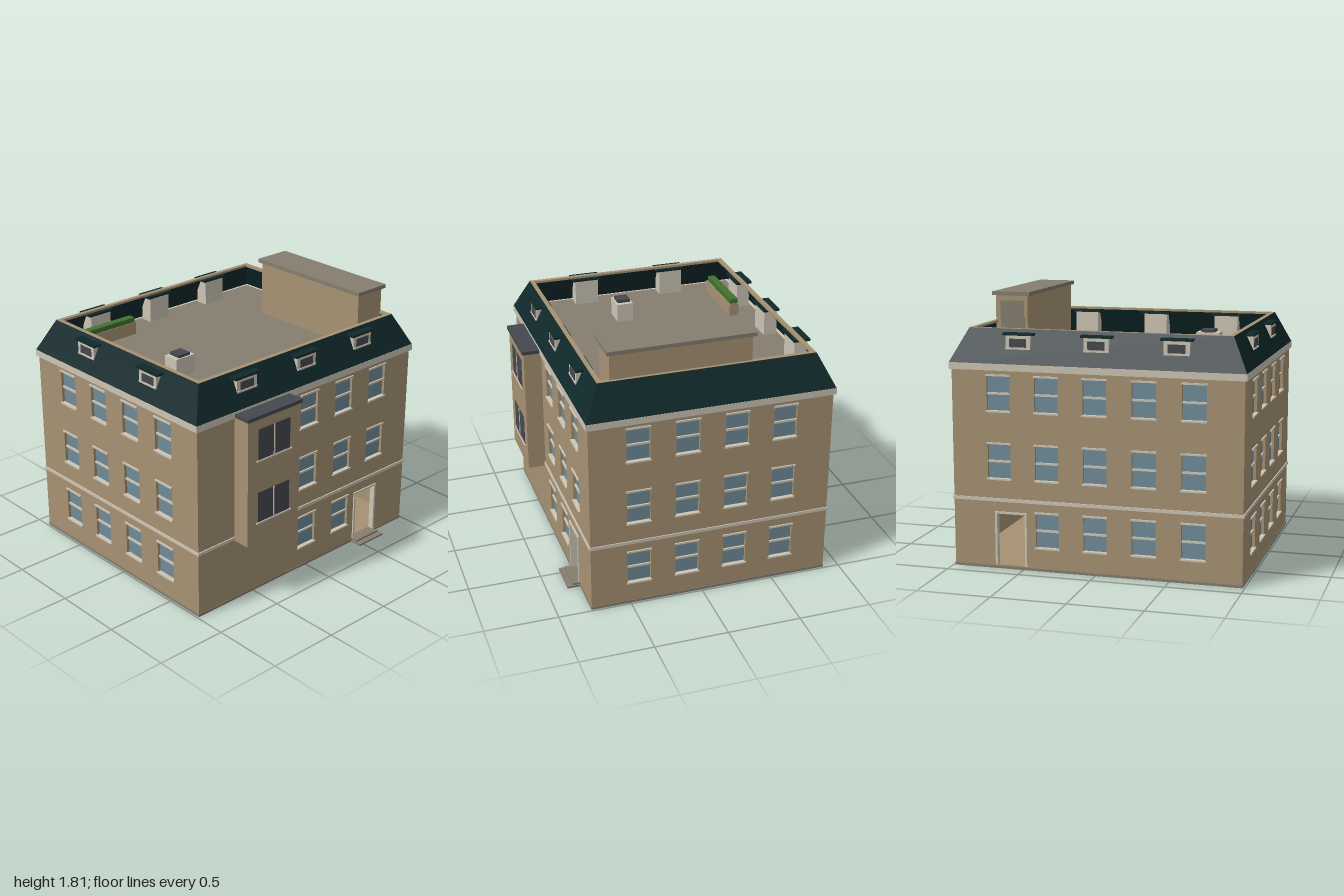
import * as THREE from 'three';

const mat = (name, color, side = THREE.FrontSide) => {
  const m = new THREE.MeshStandardMaterial({ color, side });
  m.name = name;
  return m;
};

export function createModel() {
  const wallMat = mat('tan wall', 0xa69273);
  const trim = mat('cream trim', 0xcdc5b5);
  const stone = mat('grey stone', 0x857d6f);
  const slate = mat('dark green slate', 0x10292a, THREE.DoubleSide);
  const glass = mat('blue glass', 0x708b98);
  const dark = mat('charcoal', 0x46484f);
  const green = mat('hedge green', 0x41722f);

  const model = new THREE.Group();
  model.name = 'townhouse';

  // Box given by its limits on each axis
  function box(parent, name, m, x0, x1, y0, y1, z0, z1) {
    const mesh = new THREE.Mesh(new THREE.BoxGeometry(x1 - x0, y1 - y0, z1 - z0), m);
    mesh.position.set((x0 + x1) / 2, (y0 + y1) / 2, (z0 + z1) / 2);
    mesh.name = name;
    parent.add(mesh);
    return mesh;
  }
  function group(parent, name, x, y, z, turn) {
    const g = new THREE.Group();
    g.name = name;
    g.position.set(x, y, z);
    g.rotation.y = turn;
    parent.add(g);
    return g;
  }

  const T = 0.03, MID = -0.06; // wall thickness, centre of the building in z
  const FLOORS = [0.16, 0.615, 1.07], WIN_H = 0.235, WIN_W = 0.16;

  function cutRect(shape, x0, x1, y0, y1) {
    const p = new THREE.Path();
    p.moveTo(x0, y0).lineTo(x0, y1).lineTo(x1, y1).lineTo(x1, y0).closePath();
    shape.holes.push(p);
  }

  // One facade in its own plane, outside facing local +z
  function facade(name, width, pos, turn, columns, skip, door) {
    const g = group(model, name, pos[0], 0, pos[1], turn);
    const half = width / 2;
    const shape = new THREE.Shape();
    shape.moveTo(-half, 0.015).lineTo(half, 0.015).lineTo(half, 1.345).lineTo(-half, 1.345).closePath();
    FLOORS.forEach((y, floor) => columns.forEach((u) => {
      if (skip(floor, u)) return;
      const a = u - WIN_W / 2, b = u + WIN_W / 2, top = y + WIN_H;
      cutRect(shape, a, b, y, top);
      const w = group(g, 'window', 0, 0, 0, 0);
      box(w, 'pane', glass, a, b, y, top, -0.028, -0.02);
      box(w, 'middleRail', trim, a, b, y + 0.108, y + 0.122, -0.022, -0.008);
      box(w, 'lintel', trim, a - 0.004, b + 0.004, top - 0.003, top + 0.009, -0.02, 0.01);
      box(w, 'sill', trim, a - 0.006, b + 0.006, y - 0.009, y + 0.002, -0.02, 0.01);
    }));
    if (door !== undefined) {
      const a = door - 0.1, b = door + 0.1;
      cutRect(shape, a, b, 0.026, 0.38);
      const d = group(g, 'doorFrame', 0, 0, 0, 0);
      box(d, 'jamb', trim, a - 0.012, a + 0.003, 0.026, 0.38, -T, 0.01);
      box(d, 'jamb', trim, b - 0.003, b + 0.012, 0.026, 0.38, -T, 0.01);
      box(d, 'doorHead', trim, a - 0.012, b + 0.012, 0.378, 0.392, -T, 0.01);
    }
    const geo = new THREE.ExtrudeGeometry(shape, { depth: T, bevelEnabled: false });
    geo.translate(0, 0, -T);
    const mesh = new THREE.Mesh(geo, wallMat);
    mesh.name = 'wall';
    g.add(mesh);
  }

  const DOOR = 0.582;
  const sideCols = [-0.5, -0.167, 0.167, 0.5];
  facade('frontFacade', 1.97, [0, 0.77], 0, [0, 0.33, 0.66], (f, u) => f === 0 && u > 0.5, DOOR);
  facade('backFacade', 1.97, [0, -0.89], Math.PI, [-0.66, -0.33, 0, 0.33, 0.66],
    (f, u) => f === 0 && u < -0.5, -DOOR);
  facade('leftFacade', 1.66 - 2 * T, [0.985, MID], Math.PI / 2, sideCols, () => false);
  facade('rightFacade', 1.66 - 2 * T, [-0.985, MID], -Math.PI / 2, sideCols, () => false);

  // Base, hallway, belt course and cornice
  box(model, 'plinth', stone, -0.988, 0.988, 0, 0.018, -0.893, 0.773);
  box(model, 'hallFloor', wallMat, -0.955, 0.955, 0.018, 0.026, -0.86, 0.74);
  box(model, 'hallWall', trim, 0.462, 0.474, 0.026, 0.46, -0.86, 0.74);
  box(model, 'beltCourse', trim, -0.992, 0.992, 0.46, 0.482, -0.898, 0.778);
  box(model, 'cornice', trim, -1, 1, 1.34, 1.385, -0.905, 0.785);
  box(model, 'lowerStep', stone, 0.46, 0.7, 0, 0.013, 0.77, 0.86);
  box(model, 'upperStep', stone, 0.47, 0.69, 0.013, 0.026, 0.74, 0.82);

  // Projecting bay with two dark windows
  const bay = group(model, 'bay', 0, 0, 0, 0);
  box(bay, 'bayBody', wallMat, -0.67, -0.215, 0.45, 1.345, 0.765, 0.893);
  box(bay, 'bayRoof', dark, -0.68, -0.2, 1.345, 1.37, 0.765, 0.905);
  for (const y of [0.6, 1.05]) {
    box(bay, 'bayPane', dark, -0.58, -0.3, y, y + 0.22, 0.892, 0.895);
    box(bay, 'bayMullion', trim, -0.446, -0.436, y, y + 0.22, 0.893, 0.899);
    box(bay, 'baySill', trim, -0.595, -0.285, y - 0.007, y + 0.003, 0.893, 0.902);
  }

  // Mansard: four sloping faces between a lower and an upper rectangle
  const ring = (hx, hz, y) => [[-hx, hz], [hx, hz], [hx, -hz], [-hx, -hz]].map(([x, z]) => [x, y, z + MID]);
  const low = ring(0.998, 0.843, 1.385), high = ring(0.89, 0.738, 1.606);
  const verts = [];
  for (let i = 0; i < 4; i++) {
    const j = (i + 1) % 4;
    for (const v of [low[i], low[j], high[j], low[i], high[j], high[i]]) verts.push(...v);
  }
  const slopes = new THREE.BufferGeometry();
  slopes.setAttribute('position', new THREE.Float32BufferAttribute(verts, 3));
  slopes.computeVertexNormals();
  const mansard = new THREE.Mesh(slopes, slate);
  mansard.name = 'mansardRoof';
  model.add(mansard);

  // Roof deck and the rim around the roof opening
  box(model, 'roofDeck', stone, -0.97, 0.97, 1.383, 1.39, -0.875, 0.755);
  for (const s of [-1, 1]) {
    box(model, 'roofRim', wallMat, -0.89, 0.89, 1.592, 1.607, MID + s * 0.7225 - 0.0155, MID + s * 0.7225 + 0.0155);
    box(model, 'roofRim', wallMat, s * 0.874 - 0.016, s * 0.874 + 0.016, 1.592, 1.607, MID - 0.707, MID + 0.707);
  }

  // Dormers: local z = 0 is the foot of the slope, +z outwards
  function dormer(x, z, turn) {
    const d = group(model, 'dormer', x, 0, z, turn);
    box(d, 'dormerBody', trim, -0.085, 0.085, 1.39, 1.57, -0.14, -0.046);
    box(d, 'dormerSill', trim, -0.085, 0.085, 1.478, 1.49, -0.08, -0.04);
    box(d, 'dormerPane', dark, -0.058, 0.058, 1.492, 1.548, -0.05, -0.043);
    box(d, 'dormerRoof', slate, -0.105, 0.105, 1.57, 1.585, -0.152, -0.036);
  }
  for (const x of [-0.535, -0.003, 0.53]) {
    dormer(x, 0.783, 0);
    dormer(x, -0.903, Math.PI);
  }
  for (const z of [-0.385, 0.26]) dormer(-0.998, z, -Math.PI / 2);

  // Rooftop stair house with a door at the back
  const hut = group(model, 'stairHouse', 0, 0, 0, 0);
  box(hut, 'stairHouseBody', wallMat, 0.64, 0.87, 1.388, 1.78, -0.36, 0.59);
  box(hut, 'stairHouseRoof', stone, 0.62, 0.89, 1.78, 1.806, -0.38, 0.61);
  box(hut, 'stairHouseDoor', stone, 0.665, 0.835, 1.39, 1.745, -0.365, -0.358);

  // Planter and roof vent
  box(model, 'planter', wallMat, -0.8, -0.31, 1.388, 1.48, -0.722, -0.655);
  box(model, 'hedge', green, -0.793, -0.317, 1.48, 1.515, -0.716, -0.661);
  box(model, 'ventBody', trim, -0.615, -0.455, 1.388, 1.52, 0.03, 0.145);
  box(model, 'ventTop', dark, -0.582, -0.488, 1.52, 1.54, 0.042, 0.133);

  return model;
}
